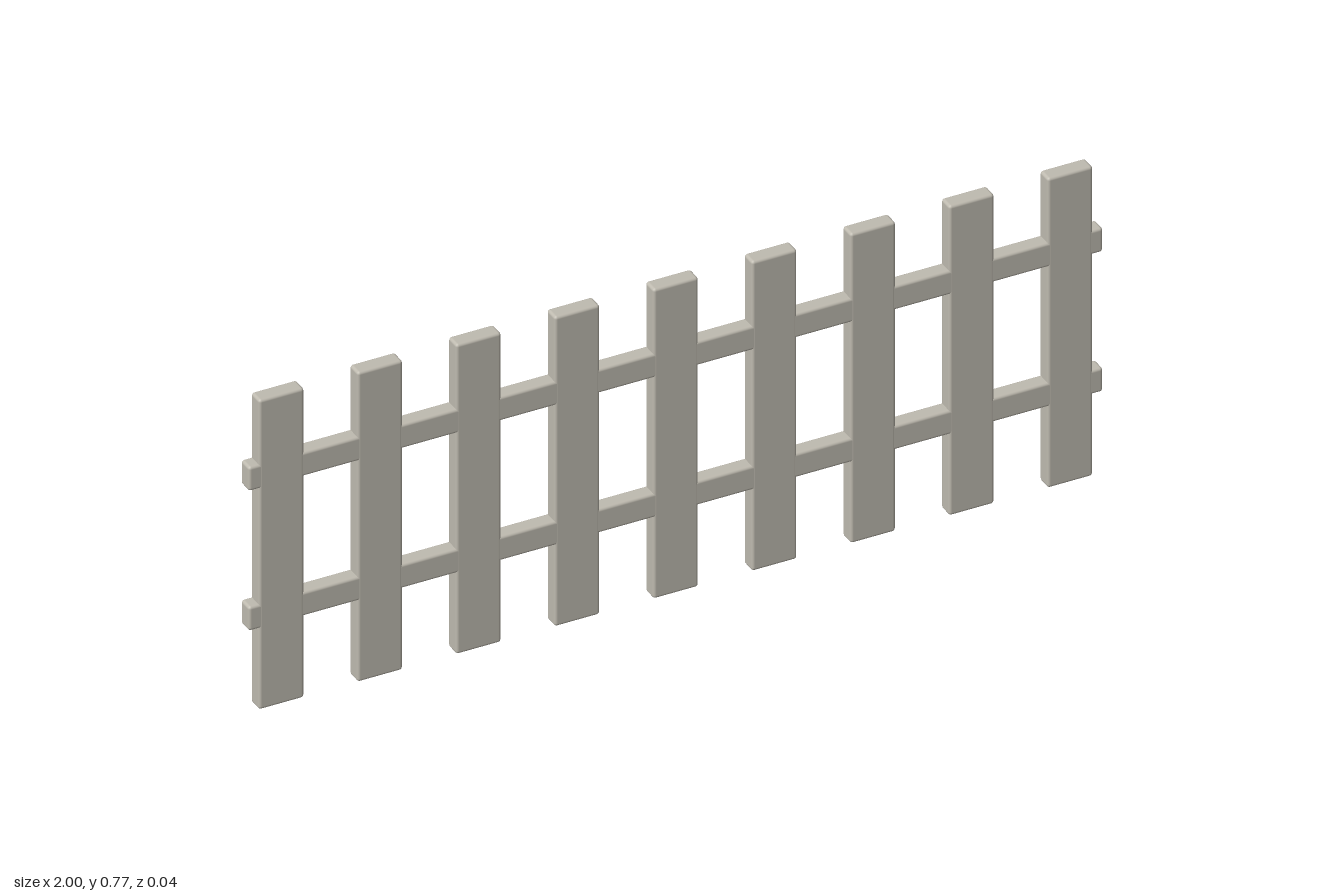
import * as THREE from 'three';
import { RoundedBoxGeometry } from 'three/addons/geometries/RoundedBoxGeometry.js';

const PICKETS = 9;
const SPACING = 0.2308;
const HEIGHT = 0.769;
const DEPTH = 0.038;
const EDGE = 0.007;

export function createModel() {
  const fence = new THREE.Group();
  fence.name = 'picketFence';

  const wood = new THREE.MeshStandardMaterial({ color: 0xbfbbb0 });
  wood.name = 'weatheredWood';

  const addBoard = (name, geometry, x, y) => {
    const board = new THREE.Mesh(geometry, wood);
    board.name = name;
    board.position.set(x, y, 0);
    fence.add(board);
  };

  // Evenly spaced upright pickets with softened edges
  const picket = new RoundedBoxGeometry(0.106, HEIGHT, DEPTH, 2, EDGE);
  for (let i = 0; i < PICKETS; i++) {
    addBoard(`picket${i + 1}`, picket, (i - (PICKETS - 1) / 2) * SPACING, HEIGHT / 2);
  }

  // Two rails running through the pickets, a hair thinner so faces do not overlap
  const rail = new RoundedBoxGeometry(2, 0.06, DEPTH - 0.001, 2, EDGE);
  addBoard('lowerRail', rail, 0, 0.232);
  addBoard('upperRail', rail, 0, 0.579);

  return fence;
}
